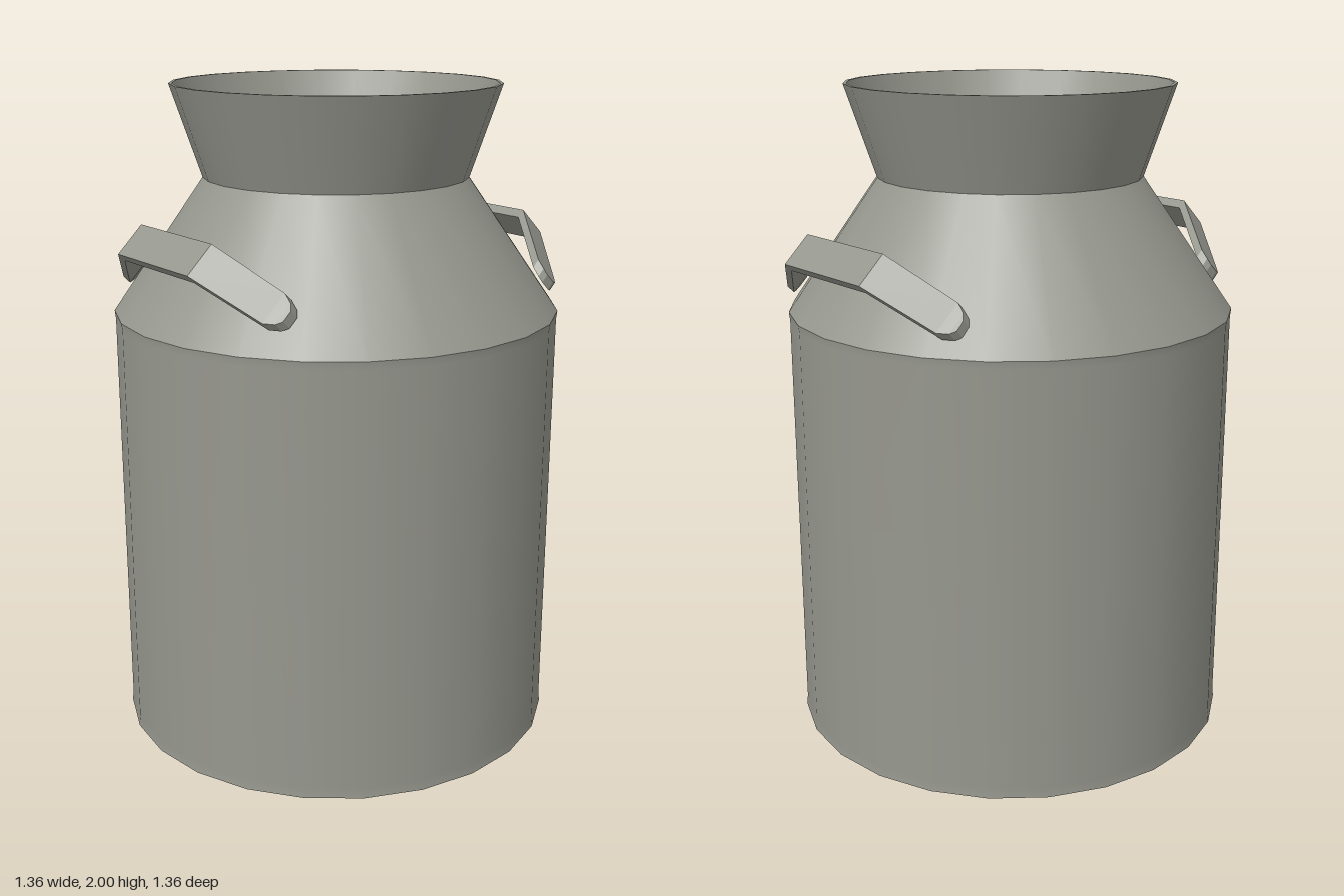
import * as THREE from 'three';

const SIDES = 24;

// Closed band with a rectangular section, swept along z through stations [z, rise, halfWidth]
function bandGeometry(stations, thickness) {
  const pos = [], index = [];
  const n = [0.7, 0.714], w = [0.714, -0.7];
  for (const [z, rise, half] of stations) {
    for (const [s, t] of [[0, half], [0, -half], [-thickness, -half], [-thickness, half]]) {
      pos.push(n[0] * (rise + s) + w[0] * t, n[1] * (rise + s) + w[1] * t, z);
    }
  }
  for (let i = 0; i < stations.length - 1; i++) {
    for (let k = 0; k < 4; k++) {
      const a = i * 4 + k, b = i * 4 + (k + 1) % 4, c = b + 4, d = a + 4;
      index.push(a, d, c, a, c, b);
    }
  }
  const e = (stations.length - 1) * 4;
  index.push(0, 1, 2, 0, 2, 3, e, e + 2, e + 1, e, e + 3, e + 2);
  const g = new THREE.BufferGeometry();
  g.setAttribute('position', new THREE.Float32BufferAttribute(pos, 3));
  g.setIndex(index);
  const flat = g.toNonIndexed();
  flat.computeVertexNormals();
  return flat;
}

export function createModel() {
  const can = new THREE.Group();
  can.name = 'milkCan';
  const metal = new THREE.MeshStandardMaterial({ color: 0x96978e });
  metal.name = 'dull grey metal';

  const add = (name, geometry) => {
    const mesh = new THREE.Mesh(geometry, metal);
    mesh.name = name;
    can.add(mesh);
    return mesh;
  };
  // Separate lathes keep the rings between the sections crisp
  const turn = (name, points) =>
    add(name, new THREE.LatheGeometry(points.map(([r, y]) => new THREE.Vector2(r, y)), SIDES));

  // Outer shell
  turn('base', [[0, 0], [0.68, 0]]);
  turn('body', [[0.68, 0], [0.677, 0.03], [0.677, 1.3], [0.68, 1.325]]);
  turn('shoulder', [[0.68, 1.325], [0.402, 1.725]]);
  turn('neck', [[0.402, 1.725], [0.495, 2]]);
  turn('rim', [[0.495, 2], [0.485, 2]]);

  // Inner shell, profiles run downwards so that they face inwards
  turn('neckInside', [[0.485, 2], [0.394, 1.725]]);
  turn('throat', [[0.394, 1.725], [0.386, 1.705]]);
  turn('shoulderInside', [[0.386, 1.705], [0.665, 1.315]]);
  turn('bodyInside', [[0.665, 1.315], [0.665, 0.02]]);
  turn('floor', [[0.665, 0.02], [0, 0.02]]);

  // Bent strap handles with rounded tabs
  const half = [[0.41, -0.012, 0.018], [0.4, -0.004, 0.036], [0.375, 0.014, 0.052], [0.19, 0.175, 0.056]];
  const stations = [...half, ...half.map(([z, s, w]) => [-z, s, w]).reverse()];
  const strap = bandGeometry(stations, 0.03);
  add('leftHandle', strap).position.set(0.515, 1.42, 0.01);
  const right = add('rightHandle', strap);
  right.rotation.y = Math.PI;
  right.position.set(-0.492, 1.445, 0.01);

  return can;
}
